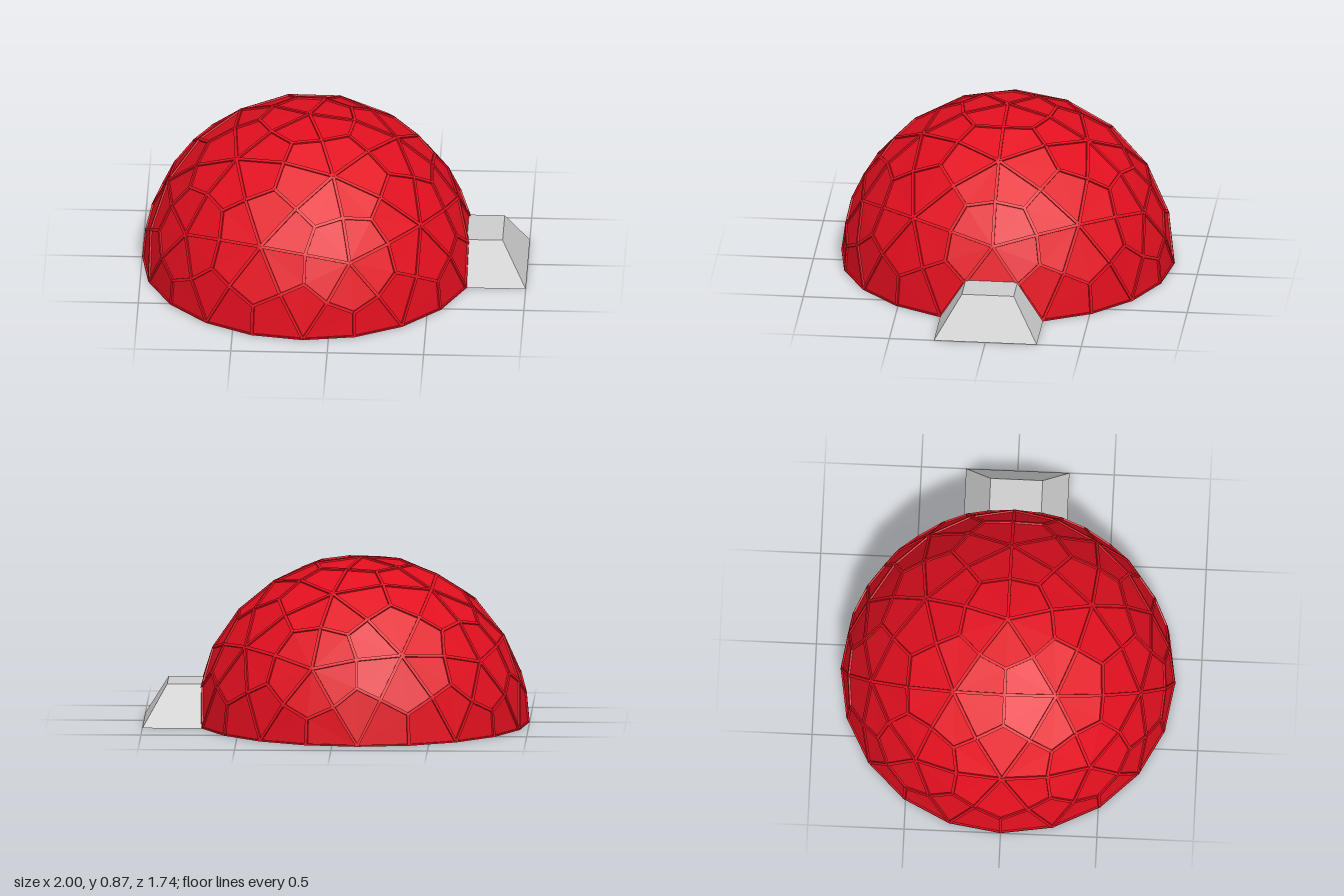
import * as THREE from 'three';
import { mergeGeometries } from 'three/addons/utils/BufferGeometryUtils.js';

const R = 0.86, CX = -0.132, STRUT = 0.016;
const onSphere = (...pts) =>
  pts.reduce((s, p) => s.add(p), new THREE.Vector3()).setLength(R);
const ring = (deg, y) => {
  const a = THREE.MathUtils.degToRad(deg), r = Math.sqrt(1 - y * y);
  return new THREE.Vector3(r * Math.cos(a), y, r * Math.sin(a)).setLength(R);
};

// Upper half of an icosahedron with each face split in four
function domeTriangles() {
  const tris = [], h = 1 / Math.sqrt(5);
  const apex = new THREE.Vector3(0, R, 0);
  const faces = [];
  for (let k = 0; k < 5; k++) {
    const u0 = ring(72 * k, h), u1 = ring(72 * k + 72, h);
    const l0 = ring(72 * k - 36, -h), l1 = ring(72 * k + 36, -h);
    faces.push([apex, u0, u1], [u0, u1, l1], [l0, l1, u0]);
  }
  for (const [a, b, c] of faces) {
    const ab = onSphere(a, b), bc = onSphere(b, c), ca = onSphere(c, a);
    tris.push([a, ab, ca], [b, bc, ab], [c, ca, bc], [ab, bc, ca]);
  }
  return tris.filter(t => t.every(p => p.y > -0.001));
}

// Bar along an edge, with its outer face turned away from the dome's centre
function strutGeometry(a, b) {
  const mid = a.clone().add(b).multiplyScalar(0.5);
  const z = b.clone().sub(a).normalize();
  const x = new THREE.Vector3().crossVectors(mid, z).normalize();
  const y = new THREE.Vector3().crossVectors(z, x);
  const m = new THREE.Matrix4().makeBasis(x, y, z).setPosition(mid);
  return new THREE.BoxGeometry(STRUT, STRUT, a.distanceTo(b) + 0.006).applyMatrix4(m);
}

export function createModel() {
  const group = new THREE.Group();
  const red = new THREE.MeshStandardMaterial({
    color: 0xe20f1f, flatShading: true, side: THREE.DoubleSide });
  const grey = new THREE.MeshStandardMaterial({ color: 0xcccccc, flatShading: true });

  const panelPoints = [], edges = new Map();
  const addEdge = (a, b) => {
    const key = a.clone().add(b).toArray().map(v => Math.round(v * 1000) + 0).join();
    edges.set(key, [a, b]);
  };
  const addTriangle = (a, b, c) => {
    const n = b.clone().sub(a).cross(c.clone().sub(a));
    for (const p of n.dot(a) > 0 ? [a, b, c] : [a, c, b]) panelPoints.push(...p.toArray());
  };

  // Three kite panels per triangle, meeting at its centre
  for (const tri of domeTriangles()) {
    const centre = onSphere(...tri);
    const doorway = centre.x > 0.97 * R && Math.abs(centre.z) < 0.01 && centre.y < 0.2;
    tri.forEach((v, i) => {
      const m1 = onSphere(v, tri[(i + 1) % 3]), m2 = onSphere(v, tri[(i + 2) % 3]);
      if (doorway) {
        // Only the tip above the entrance is filled
        if (v.y > 0.1) addTriangle(v, m1, m2);
        for (const m of [m1, m2]) if (m.y > 0.01) addEdge(v, m);
        return;
      }
      addTriangle(v, m1, centre);
      addTriangle(v, centre, m2);
      addEdge(v, m1);
      addEdge(v, m2);
      addEdge(m1, centre);
    });
  }

  const panelGeo = new THREE.BufferGeometry();
  panelGeo.setAttribute('position', new THREE.Float32BufferAttribute(panelPoints, 3));
  panelGeo.computeVertexNormals();
  const panels = new THREE.Mesh(panelGeo, red);
  panels.name = 'domePanels';

  // Struts, trimmed level with the ground
  const strutGeo = mergeGeometries([...edges.values()].map(([a, b]) => strutGeometry(a, b)));
  const sp = strutGeo.attributes.position;
  for (let i = 0; i < sp.count; i++) sp.setY(i, Math.max(0, sp.getY(i)));
  strutGeo.computeVertexNormals();
  const struts = new THREE.Mesh(strutGeo, red);
  struts.name = 'domeStruts';

  const dome = new THREE.Group();
  dome.name = 'dome';
  dome.add(panels, struts);
  dome.position.x = CX;
  group.add(dome);

  // Entrance porch: a box narrowed at the top, with a sloping outer end
  const porchGeo = new THREE.BoxGeometry(1, 1, 1);
  const pp = porchGeo.attributes.position;
  for (let i = 0; i < pp.count; i++) {
    const top = pp.getY(i) > 0, outer = pp.getX(i) > 0;
    pp.setXYZ(i, outer ? (top ? 0.875 : 1) : 0.69, top ? 0.213 : 0,
      Math.sign(pp.getZ(i)) * (top ? 0.135 : 0.268));
  }
  porchGeo.computeVertexNormals();
  const porch = new THREE.Mesh(porchGeo, grey);
  porch.name = 'entrancePorch';
  group.add(porch);

  return group;
}
